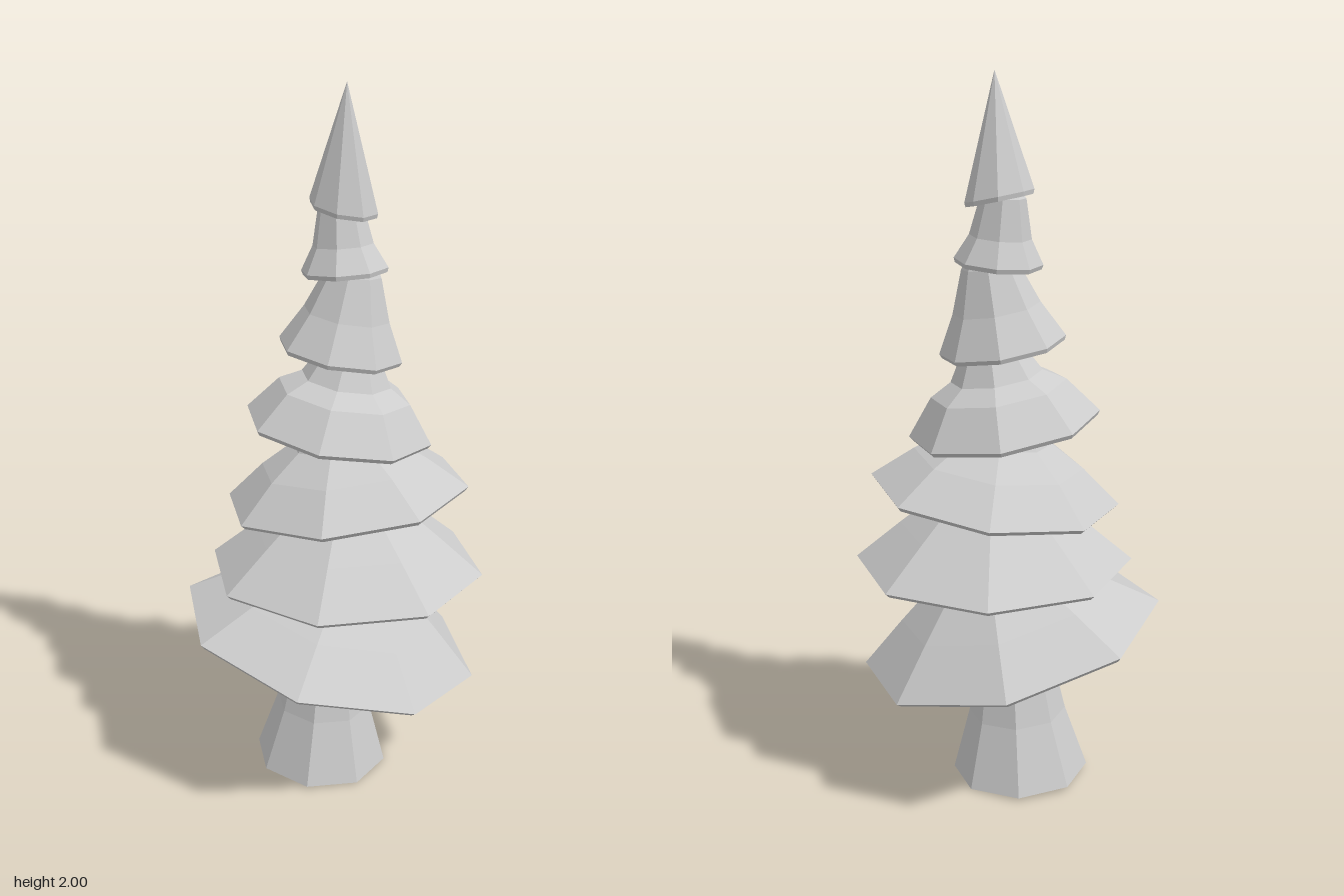
import * as THREE from 'three';

const SIDES = 8;

// Octagonal shell from a [radius, height] profile (bottom to top).
// tilt = slope of the rim along x and z, lean = sideways drift per unit height.
function shell(name, material, profile, [cx, cy, cz], [tx, tz], lean = [-tx, -tz]) {
  const geometry = new THREE.LatheGeometry(profile.map(([r, h]) => new THREE.Vector2(r, h)), SIDES);
  const p = geometry.attributes.position;
  for (let i = 0; i < p.count; i++) {
    const x = p.getX(i), h = p.getY(i), z = p.getZ(i);
    p.setXYZ(i, cx + x + lean[0] * h, cy + h + tx * x + tz * z, cz + z + lean[1] * h);
  }
  geometry.computeVertexNormals();
  const mesh = new THREE.Mesh(geometry, material);
  mesh.name = name;
  return mesh;
}

// Rim centre, tilt, rim radius and upper profile of every bough layer
const TIERS = [
  { at: [-0.012, 0.432, 0], tilt: [-0.24, 0.05], r: 0.425, up: [[0.29, 0.105], [0.12, 0.23], [0.06, 0.27]] },
  { at: [0.037, 0.662, 0], tilt: [0, 0.025], r: 0.392, up: [[0.265, 0.105], [0.12, 0.22], [0.06, 0.27]] },
  { at: [0.032, 0.875, -0.03], tilt: [0.12, 0.03], r: 0.345, up: [[0.235, 0.09], [0.14, 0.15], [0.07, 0.25]] },
  { at: [0.006, 1.067, -0.042], tilt: [-0.15, 0.05], r: 0.262, up: [[0.185, 0.1], [0.125, 0.135], [0.06, 0.25]] },
  { at: [0.01, 1.287, -0.046], tilt: [-0.16, 0.05], r: 0.171, up: [[0.118, 0.1], [0.075, 0.215], [0.05, 0.25]] },
  { at: [0.02, 1.512, -0.05], tilt: [0.08, 0.06], r: 0.119, up: [[0.083, 0.065], [0.06, 0.17], [0.03, 0.2]] },
  { at: [0.018, 1.682, -0.045], tilt: [-0.2, -0.05], r: 0.092, up: [[0, 0.318]], lean: [0.04, 0.08] },
];

export function createModel() {
  const tree = new THREE.Group();
  tree.name = 'tree';
  const paleGrey = new THREE.MeshStandardMaterial({ color: 0xcccccc });
  paleGrey.name = 'paleGrey';
  paleGrey.flatShading = true;

  // Flared trunk
  tree.add(shell('trunk', paleGrey,
    [[0, 0], [0.196, 0], [0.14, 0.185], [0.112, 0.33], [0.11, 0.48]],
    [-0.04, 0.008, -0.005], [-0.04, 0], [0.05, 0]));

  // Stacked boughs: thin lip under each rim, shallow hollow beneath
  TIERS.forEach(({ at, tilt, r, up, lean }, i) => {
    const profile = [[0, 0.02], [r * 0.97, -0.012], [r, 0], ...up];
    tree.add(shell(i === TIERS.length - 1 ? 'treetop' : `boughLayer${i + 1}`, paleGrey, profile, at, tilt, lean));
  });
  return tree;
}
